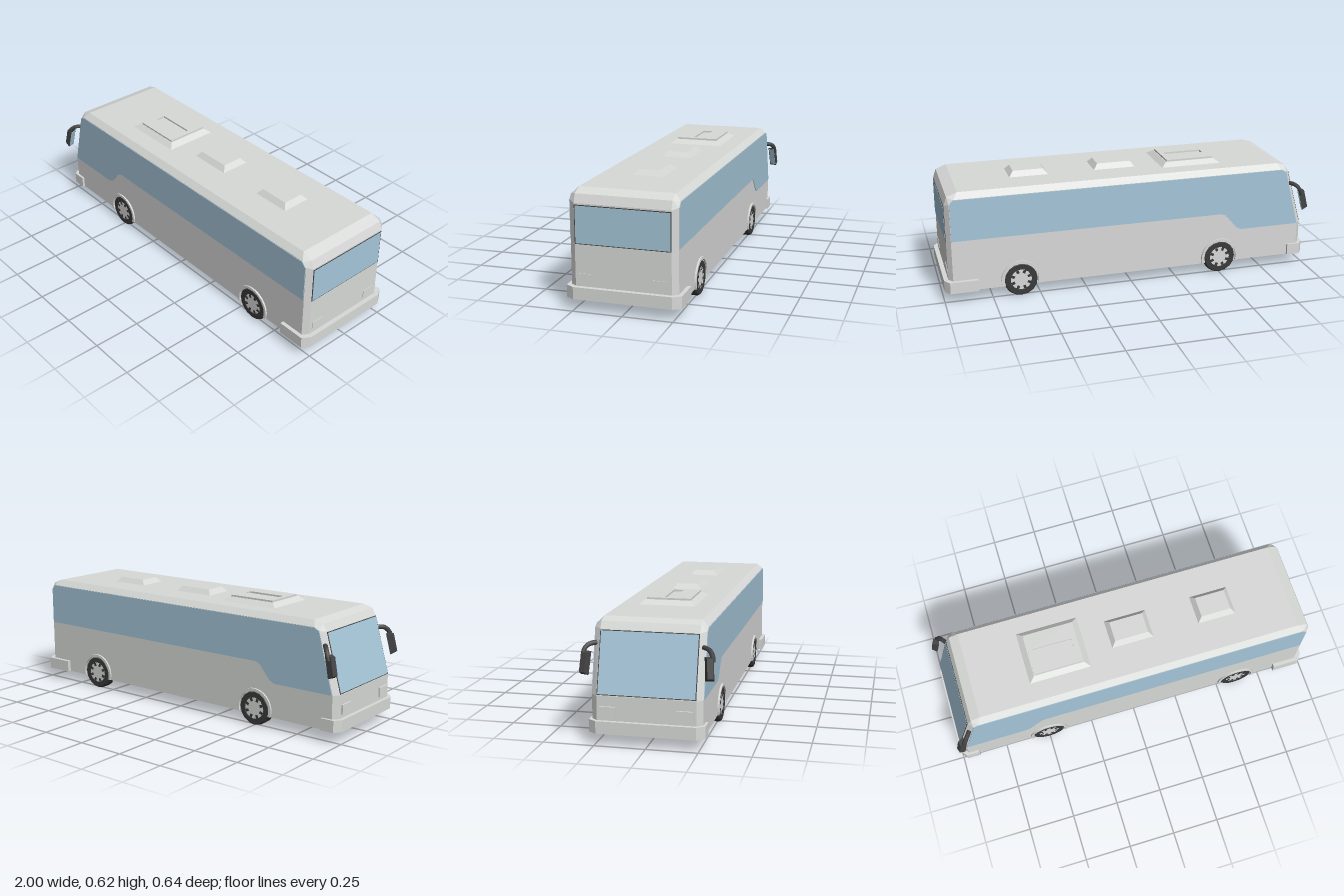
import * as THREE from 'three';
import { ConvexGeometry } from 'three/addons/geometries/ConvexGeometry.js';

const mat = (name, color, extra = {}) => {
  const m = new THREE.MeshStandardMaterial({ color, ...extra });
  m.name = name;
  return m;
};

export function createModel() {
  const paint = mat('light grey paint', 0xd8dad8);
  const glass = mat('blue glass', 0xa6c6d9);
  const dark = mat('dark trim', 0x444446);
  const rubber = mat('tyre rubber', 0x3a3a3c);
  const bus = new THREE.Group();
  bus.name = 'bus';

  const add = (name, geo, m, parent = bus, pos = [0, 0, 0]) => {
    const mesh = new THREE.Mesh(geo, m);
    mesh.name = name;
    mesh.position.set(...pos);
    parent.add(mesh);
    return mesh;
  };
  const box = (name, size, pos, m, parent = bus) =>
    add(name, new THREE.BoxGeometry(...size), m, parent, pos);
  const shapeOf = pts => new THREE.Shape(pts.map(p => new THREE.Vector2(...p)));
  const extrude = (shape, depth) => new THREE.ExtrudeGeometry(shape, { depth, bevelEnabled: false });

  // Body shell: wide inner side profile joined to a narrower outer profile
  const side = [[-0.955, 0.06], [-0.955, 0.24], [-0.872, 0.545], [-0.845, 0.56],
    [0.93, 0.56], [0.953, 0.535], [0.953, 0.06]];
  const outer = [[-0.98, 0.06], [-0.98, 0.24], [-0.895, 0.54], [-0.875, 0.575], [-0.825, 0.59],
    [0.905, 0.59], [0.96, 0.568], [0.975, 0.525], [0.975, 0.06]];
  const shell = [];
  for (const s of [1, -1]) {
    side.forEach(([x, y]) => shell.push(new THREE.Vector3(x, y, s * 0.267)));
    outer.forEach(([x, y]) => shell.push(new THREE.Vector3(x, y, s * 0.238)));
  }
  add('body', new ConvexGeometry(shell), paint);

  // Side windows with the dropped front section
  const sideGlass = shapeOf([[-0.952, 0.24], [-0.62, 0.24], [-0.59, 0.255], [-0.53, 0.328], [-0.505, 0.338],
    [0.951, 0.338], [0.951, 0.535], [0.93, 0.558], [-0.845, 0.558], [-0.872, 0.543]]);
  for (const s of [1, -1])
    add('sideWindow', extrude(sideGlass, 0.004), glass, bus, [0, 0, s > 0 ? 0.266 : -0.27]);

  // Rear window in a dark frame
  box('rearWindowFrame', [0.004, 0.19, 0.474], [0.975, 0.423, 0], dark);
  box('rearWindow', [0.006, 0.182, 0.466], [0.9755, 0.423, 0], glass);

  // Sloping windscreen in a dark frame
  const screen = new THREE.Group();
  screen.name = 'windscreen';
  screen.position.set(-0.9375, 0.39, 0);
  screen.rotation.z = -Math.atan2(0.085, 0.3);
  box('windscreenFrame', [0.004, 0.306, 0.474], [0, 0, 0], dark, screen);
  box('windscreenGlass', [0.007, 0.298, 0.466], [0, 0, 0], glass, screen);
  bus.add(screen);

  // Wrap-around bumpers with chamfered corners
  const bumper = (name, dir, inner, corner, end, w, flat) => {
    const pts = [[inner, -w], [corner, -w], [end, -flat], [end, flat], [corner, w], [inner, w]]
      .map(([x, z]) => [dir * x, z]);
    const g = extrude(shapeOf(pts), 0.061);
    g.rotateX(-Math.PI / 2);
    add(name, g, paint, bus, [0, 0.06, 0]);
  };
  bumper('rearBumper', 1, 0.825, 0.972, 0.998, 0.287, 0.245);
  bumper('frontBumper', -1, 0.9, 0.972, 1.0, 0.28, 0.24);

  // Lamps at both ends
  for (const s of [1, -1]) {
    box('tailLamp', [0.008, 0.042, 0.072], [0.974, 0.164, s * 0.184], paint);
    box('headLamp', [0.02, 0.05, 0.08], [-0.979, 0.165, s * 0.184], paint);
  }

  // Roof units: four-sided tapered boxes
  const hatch = (name, x, w, d, tw, td, y0, y1) => {
    const pts = [];
    for (const sx of [1, -1]) for (const sz of [1, -1]) {
      pts.push(new THREE.Vector3(x + sx * w / 2, y0, sz * d / 2));
      pts.push(new THREE.Vector3(x + sx * tw / 2, y1, sz * td / 2));
    }
    add(name, new ConvexGeometry(pts), paint, bus, [0, 0, -0.004]);
  };
  hatch('middleRoofHatch', 0.045, 0.23, 0.16, 0.18, 0.11, 0.588, 0.617);
  hatch('rearRoofHatch', 0.51, 0.21, 0.16, 0.16, 0.11, 0.588, 0.617);
  hatch('airConditioner', -0.367, 0.335, 0.29, 0.27, 0.232, 0.588, 0.612);
  // Air conditioner lid with a sunken slot
  const rect = (w, d) => [[-w / 2, -d / 2], [w / 2, -d / 2], [w / 2, d / 2], [-w / 2, d / 2]];
  const lid = shapeOf(rect(0.26, 0.224));
  lid.holes.push(new THREE.Path(rect(0.21, 0.05).map(p => new THREE.Vector2(...p))));
  const lidGeo = extrude(lid, 0.01);
  lidGeo.rotateX(-Math.PI / 2);
  add('airConditionerLid', lidGeo, paint, bus, [-0.367, 0.611, -0.004]);

  // Wheels with arch trims
  const tyreGeo = new THREE.LatheGeometry([[0.05, -0.03], [0.084, -0.03], [0.09, -0.022], [0.09, 0.022],
    [0.084, 0.03], [0.058, 0.03], [0.054, 0.024]].map(p => new THREE.Vector2(...p)), 16).toNonIndexed();
  tyreGeo.computeVertexNormals();
  tyreGeo.rotateX(Math.PI / 2);
  const hubGeo = new THREE.CylinderGeometry(0.056, 0.056, 0.03, 16);
  hubGeo.rotateX(Math.PI / 2);
  const archShape = new THREE.Shape();
  archShape.absarc(0, 0, 0.106, -0.28, Math.PI + 0.28, false);
  archShape.absarc(0, 0, 0.092, Math.PI + 0.28, -0.28, true);
  const archGeo = new THREE.ExtrudeGeometry(archShape, { depth: 0.03, bevelEnabled: false, curveSegments: 10 });
  for (const x of [-0.5, 0.602]) for (const s of [1, -1]) {
    const wheel = new THREE.Group();
    wheel.name = 'wheel';
    wheel.position.set(x, 0.09, s * 0.241);
    wheel.rotation.y = s > 0 ? 0 : Math.PI;
    add('tyre', tyreGeo, rubber, wheel);
    add('hub', hubGeo, paint, wheel, [0, 0, 0.013]);
    for (let i = 0; i < 8; i++) {
      const a = (i + 0.5) * Math.PI / 4;
      const slot = box('hubSlot', [0.018, 0.014, 0.003],
        [Math.cos(a) * 0.046, Math.sin(a) * 0.046, 0.028], rubber, wheel);
      slot.rotation.z = a;
    }
    add('wheelArch', archGeo, paint, wheel, [0, 0, 0.005]);
    bus.add(wheel);
  }

  // Hanging mirrors on curved arms
  for (const s of [1, -1]) {
    const mirror = new THREE.Group();
    mirror.name = 'wingMirror';
    const arm = new THREE.CatmullRomCurve3([[-0.9, 0.476, 0.255], [-0.922, 0.472, 0.284],
      [-0.94, 0.452, 0.303], [-0.953, 0.42, 0.308]].map(([x, y, z]) => new THREE.Vector3(x, y, s * z)));
    add('mirrorArm', new THREE.TubeGeometry(arm, 8, 0.012, 6), dark, mirror);
    const head = new THREE.Group();
    head.name = 'mirrorHead';
    head.position.set(-0.965, 0.392, s * 0.297);
    head.rotation.set(0, s * 0.3, -0.24);
    // Housing narrows toward its front
    const hull = [];
    for (const sy of [1, -1]) for (const sz of [1, -1]) {
      hull.push(new THREE.Vector3(0.016, sy * 0.056, sz * 0.021));
      hull.push(new THREE.Vector3(-0.016, sy * 0.046, sz * 0.014));
    }
    add('mirrorHousing', new ConvexGeometry(hull), dark, head);
    box('mirrorGlass', [0.004, 0.098, 0.034], [0.016, 0, 0], glass, head);
    mirror.add(head);
    bus.add(mirror);
  }
  return bus;
}
